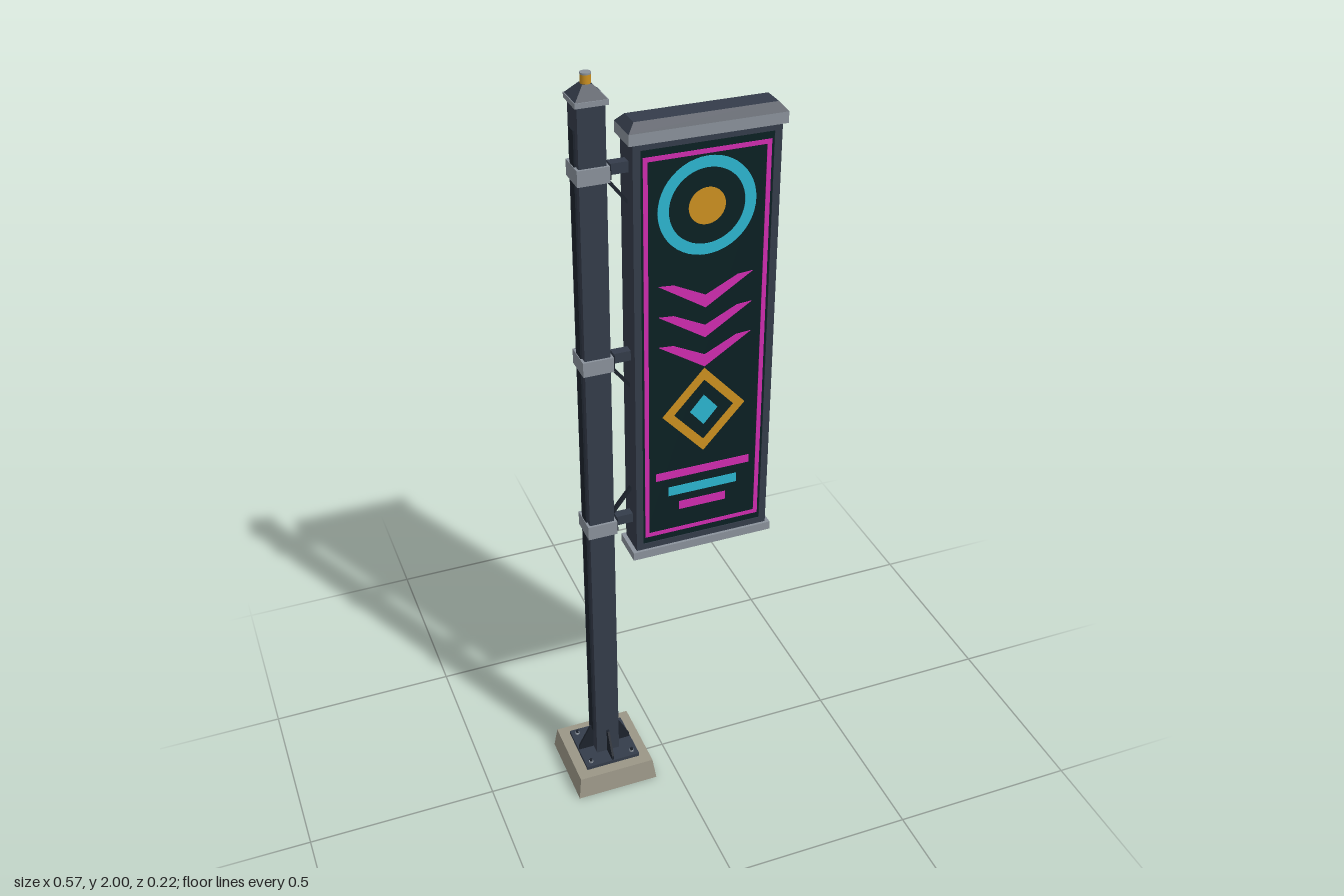
import * as THREE from 'three';

const mat = (name, color) => {
  const m = new THREE.MeshStandardMaterial({ color });
  m.name = name;
  return m;
};

export function createModel() {
  const paint = mat('slate paint', 0x343c4a);
  const dark = mat('dark metal', 0x1d232d);
  const steel = mat('brushed steel', 0x8a929b);
  const concrete = mat('concrete', 0x9a9686);
  const panelMat = mat('panel green black', 0x0b2023);
  const magenta = mat('magenta', 0xd02cb0);
  const cyan = mat('cyan', 0x2cb6d0);
  const amber = mat('amber', 0xcc9020);

  const model = new THREE.Group();
  model.name = 'bannerPost';

  const add = (parent, name, geometry, material, x = 0, y = 0, z = 0) => {
    const mesh = new THREE.Mesh(geometry, material);
    mesh.name = name;
    mesh.position.set(x, y, z);
    parent.add(mesh);
    return mesh;
  };
  // Box given by its bottom, top and centre
  const box = (parent, name, material, w, d, y0, y1, x = 0, z = 0) =>
    add(parent, name, new THREE.BoxGeometry(w, y1 - y0, d), material, x, (y0 + y1) / 2, z);
  // Box whose top is drawn in by an inset on every side
  const taper = (parent, name, material, w, d, y0, y1, inset, x = 0) => {
    const mesh = box(parent, name, material, w, d, y0, y1, x);
    const p = mesh.geometry.attributes.position;
    for (let i = 0; i < p.count; i++) {
      if (p.getY(i) > 0) {
        p.setX(i, p.getX(i) - Math.sign(p.getX(i)) * inset);
        p.setZ(i, p.getZ(i) - Math.sign(p.getZ(i)) * inset);
      }
    }
    mesh.geometry.computeVertexNormals();
    return mesh;
  };
  const polygon = (points) => new THREE.Shape(points.map(([x, y]) => new THREE.Vector2(x, y)));
  const plate = (shape, depth) =>
    new THREE.ExtrudeGeometry(shape, { depth, bevelEnabled: false, curveSegments: 24 });

  // Post, in its own frame centred on the pole
  const post = new THREE.Group();
  post.name = 'post';
  post.position.x = -0.173;
  model.add(post);
  taper(post, 'footing', concrete, 0.224, 0.224, 0, 0.061, 0.008);
  box(post, 'basePlate', paint, 0.151, 0.151, 0.061, 0.071);
  box(post, 'pole', paint, 0.064, 0.064, 0.071, 1.94);
  box(post, 'poleTrim', dark, 0.005, 0.03, 0.14, 1.88, -0.034);

  // Gussets and anchor bolts
  const gusset = polygon([[0.031, 0], [0.073, 0], [0.073, 0.012], [0.04, 0.075], [0.031, 0.075]]);
  for (let i = 0; i < 4; i++) {
    const arm = new THREE.Group();
    arm.name = 'gussetArm';
    arm.rotation.y = i * Math.PI / 2;
    post.add(arm);
    add(arm, 'gusset', plate(gusset, 0.006), dark, 0, 0.071, -0.003);
    add(arm, 'washer', new THREE.CylinderGeometry(0.006, 0.006, 0.004, 12), steel, 0.059, 0.073, 0.059);
    add(arm, 'bolt', new THREE.CylinderGeometry(0.004, 0.004, 0.008, 6), dark, 0.059, 0.078, 0.059);
  }

  // Cap and finial
  box(post, 'capCollar', steel, 0.077, 0.077, 1.936, 1.948);
  taper(post, 'capPyramid', paint, 0.073, 0.073, 1.948, 1.976, 0.025);
  add(post, 'finial', new THREE.CylinderGeometry(0.012, 0.012, 0.021, 20), amber, 0, 1.9865, 0);
  add(post, 'finialTop', new THREE.CylinderGeometry(0.0125, 0.0125, 0.004, 20), steel, 0, 1.998, 0);

  // Clamps, arms and diagonal braces; the lowest brace points up
  for (const [y, dir] of [[1.778, -1], [1.302, -1], [0.83, 1]]) {
    const bracket = new THREE.Group();
    bracket.name = 'bracket';
    bracket.position.y = y;
    post.add(bracket);
    box(bracket, 'clamp', steel, 0.076, 0.076, -0.019, 0.019);
    box(bracket, 'clampPlate', dark, 0.006, 0.055, -0.017, 0.017, 0.041);
    box(bracket, 'arm', paint, 0.055, 0.024, -0.013, 0.013, 0.064);
    const a = new THREE.Vector3(0.037, dir * 0.02, 0);
    const b = new THREE.Vector3(0.09, dir * 0.088, 0);
    const brace = add(bracket, 'brace', new THREE.BoxGeometry(0.008, a.distanceTo(b), 0.01), dark);
    brace.position.copy(a).lerp(b, 0.5);
    brace.rotation.z = -Math.atan2(b.x - a.x, b.y - a.y);
  }

  // Sign cabinet
  const sign = new THREE.Group();
  sign.name = 'sign';
  sign.position.x = 0.094;
  model.add(sign);
  box(sign, 'cabinet', paint, 0.34, 0.07, 0.74, 1.84);
  for (const side of [-1, 1]) box(sign, 'sideFrame', paint, 0.018, 0.078, 0.74, 1.84, side * 0.169);
  box(sign, 'topFrame', paint, 0.34, 0.078, 1.822, 1.84);
  box(sign, 'bottomFrame', paint, 0.34, 0.078, 0.74, 0.76);
  box(sign, 'topRail', steel, 0.378, 0.092, 1.838, 1.865);
  box(sign, 'bottomRail', steel, 0.378, 0.092, 0.72, 0.743);
  taper(sign, 'roof', paint, 0.378, 0.092, 1.865, 1.885, 0.018);
  box(sign, 'edgeLight', amber, 0.008, 0.018, 0.78, 1.808, 0.18);

  // Artwork shapes
  const ring = new THREE.Shape().absarc(0, 0, 0.12, 0, Math.PI * 2);
  ring.holes.push(new THREE.Path().absarc(0, 0, 0.093, 0, Math.PI * 2, true));
  const disc = new THREE.Shape().absarc(0, 0, 0.045, 0, Math.PI * 2);
  const rhombus = (w, h) => polygon([[w, 0], [0, h], [-w, 0], [0, -h]]);
  const diamond = rhombus(0.108, 0.118);
  diamond.holes.push(rhombus(0.078, 0.085));
  const chevron = polygon([[-0.118, 0], [0, -0.075], [0.118, 0], [0.08, -0.003], [0, -0.042], [-0.08, -0.003]]);
  const rect = (w, h) => polygon([[-w, -h], [w, -h], [w, h], [-w, h]]);
  const border = rect(0.154, 0.513);
  border.holes.push(rect(0.143, 0.502));

  // Each face carries the same artwork with the two neon colours swapped
  const addFace = (name, first, second, turn) => {
    const face = new THREE.Group();
    face.name = name;
    face.rotation.y = turn;
    sign.add(face);
    box(face, 'panel', panelMat, 0.322, 0.003, 0.76, 1.822, 0, 0.0355);
    const art = (part, shape, material, y) =>
      add(face, part, plate(shape, 0.002), material, 0, y, 0.0365);
    art('border', border, first, 1.291);
    art('ring', ring, second, 1.667);
    art('disc', disc, amber, 1.667);
    for (let i = 0; i < 3; i++) art('chevron', chevron, first, 1.484 - i * 0.08);
    art('diamond', diamond, amber, 1.127);
    art('diamondCore', rhombus(0.036, 0.042), second, 1.127);
    art('longBar', rect(0.125, 0.011), first, 0.954);
    art('middleBar', rect(0.092, 0.013), second, 0.904);
    art('shortBar', rect(0.063, 0.012), first, 0.856);
  };
  addFace('frontFace', magenta, cyan, 0);
  addFace('backFace', cyan, magenta, Math.PI);

  return model;
}
